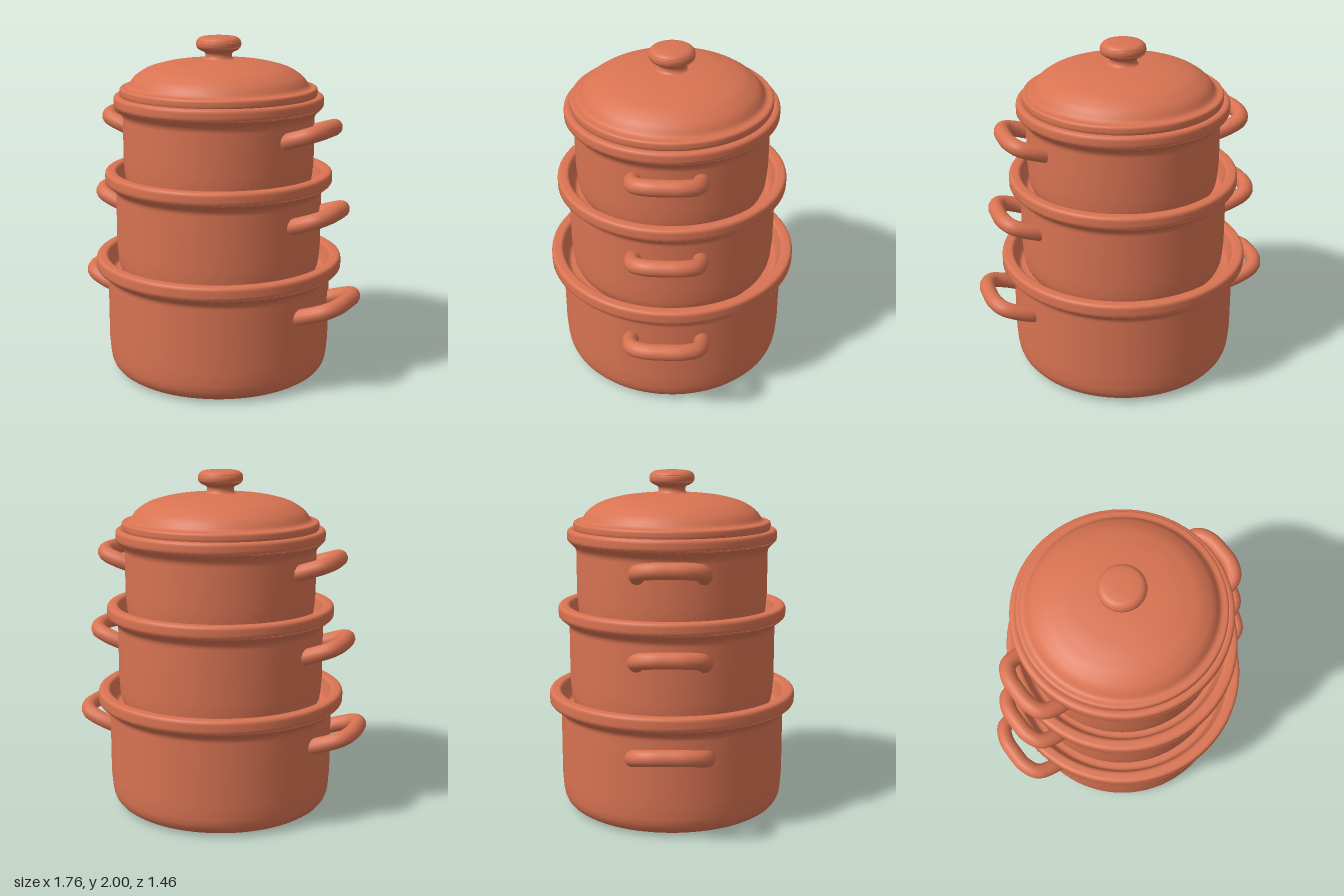
import * as THREE from 'three';

const clay = new THREE.MeshStandardMaterial({ color: 0xd87352 });
clay.name = 'terracotta';

function part(geometry, name) {
  const mesh = new THREE.Mesh(geometry, clay);
  mesh.name = name;
  return mesh;
}

// Revolved profile, listed from the outside bottom upwards; corners given as [x, y, radius] are rounded
function turned(points, name) {
  const path = new THREE.Path();
  path.moveTo(points[0][0], points[0][1]);
  for (let i = 1; i < points.length; i++) {
    const p = new THREE.Vector2(points[i][0], points[i][1]);
    const r = points[i][2];
    if (!r) { path.lineTo(p.x, p.y); continue; }
    const prev = new THREE.Vector2(points[i - 1][0], points[i - 1][1]);
    const next = new THREE.Vector2(points[i + 1][0], points[i + 1][1]);
    const a = prev.sub(p).setLength(r).add(p);
    const b = next.sub(p).setLength(r).add(p);
    path.lineTo(a.x, a.y);
    path.quadraticCurveTo(p.x, p.y, b.x, b.y);
  }
  return part(new THREE.LatheGeometry(path.getPoints(6), 80), name);
}

// Pot with a rounded base, flared rim and a recess that seats the pot above
function pot({ base, rimLow, rimTop, wall, rim, inner }) {
  return turned([
    [0, base], [wall - 0.12, base], [wall - 0.015, base, 0.11], [wall, base + 0.2],
    [wall, rimLow - 0.03, 0.03], [rim - 0.015, rimLow, 0.025],
    [rim, rimLow + 0.02, 0.015], [rim, rimTop, 0.025],
    [inner + 0.015, rimTop, 0.02], [inner, rimTop - 0.06], [inner - 0.02, rimTop - 0.11, 0.02],
    [0, rimTop - 0.11],
  ], 'potBody');
}

// Loop handle rising outward from the wall; side is +1 or -1
function handle({ root, reach, low, high, half }, side) {
  const at = (t, z) => new THREE.Vector3(
    side * THREE.MathUtils.lerp(root, reach, t), THREE.MathUtils.lerp(low, high, t), z * half);
  const curve = new THREE.CatmullRomCurve3([
    at(0, -0.98), at(0.45, -1), at(0.8, -0.88), at(0.97, -0.5), at(1, 0),
    at(0.97, 0.5), at(0.8, 0.88), at(0.45, 1), at(0, 0.98),
  ]);
  return part(new THREE.TubeGeometry(curve, 48, 0.046, 14), side > 0 ? 'leftHandle' : 'rightHandle');
}

export function createModel() {
  const model = new THREE.Group();
  model.name = 'stackedPots';

  const pots = [
    { name: 'largePot', base: 0, rimLow: 0.625, rimTop: 0.715, wall: 0.665, rim: 0.732, inner: 0.65,
      root: 0.59, reach: 0.836, low: 0.445, high: 0.528, half: 0.203 },
    { name: 'mediumPot', base: 0.58, rimLow: 1.14, rimTop: 1.225, wall: 0.608, rim: 0.67, inner: 0.59,
      root: 0.54, reach: 0.757, low: 0.968, high: 1.042, half: 0.187 },
    { name: 'smallPot', base: 1.09, rimLow: 1.585, rimTop: 1.665, wall: 0.56, rim: 0.612, inner: 0.55,
      root: 0.49, reach: 0.7, low: 1.445, high: 1.512, half: 0.183 },
  ];
  for (const spec of pots) {
    const group = new THREE.Group();
    group.name = spec.name;
    group.add(pot(spec), handle(spec, 1), handle(spec, -1));
    model.add(group);
  }

  // Domed lid with a stepped lip
  const lid = new THREE.Group();
  lid.name = 'lid';
  lid.add(turned([
    [0, 1.64], [0.56, 1.64], [0.575, 1.67, 0.01], [0.575, 1.71, 0.018], [0.53, 1.71, 0.02],
    [0.495, 1.765, 0.03], [0.42, 1.815, 0.04], [0.3, 1.848, 0.05], [0.17, 1.863, 0.05], [0, 1.87],
  ], 'lidDome'));

  // Mushroom knob
  lid.add(turned([
    [0.1, 1.86], [0.077, 1.875, 0.015], [0.077, 1.905, 0.015], [0.12, 1.922, 0.02],
    [0.136, 1.953, 0.025], [0.118, 1.992, 0.025], [0.06, 2, 0.03], [0, 2],
  ], 'lidKnob'));
  model.add(lid);

  return model;
}
